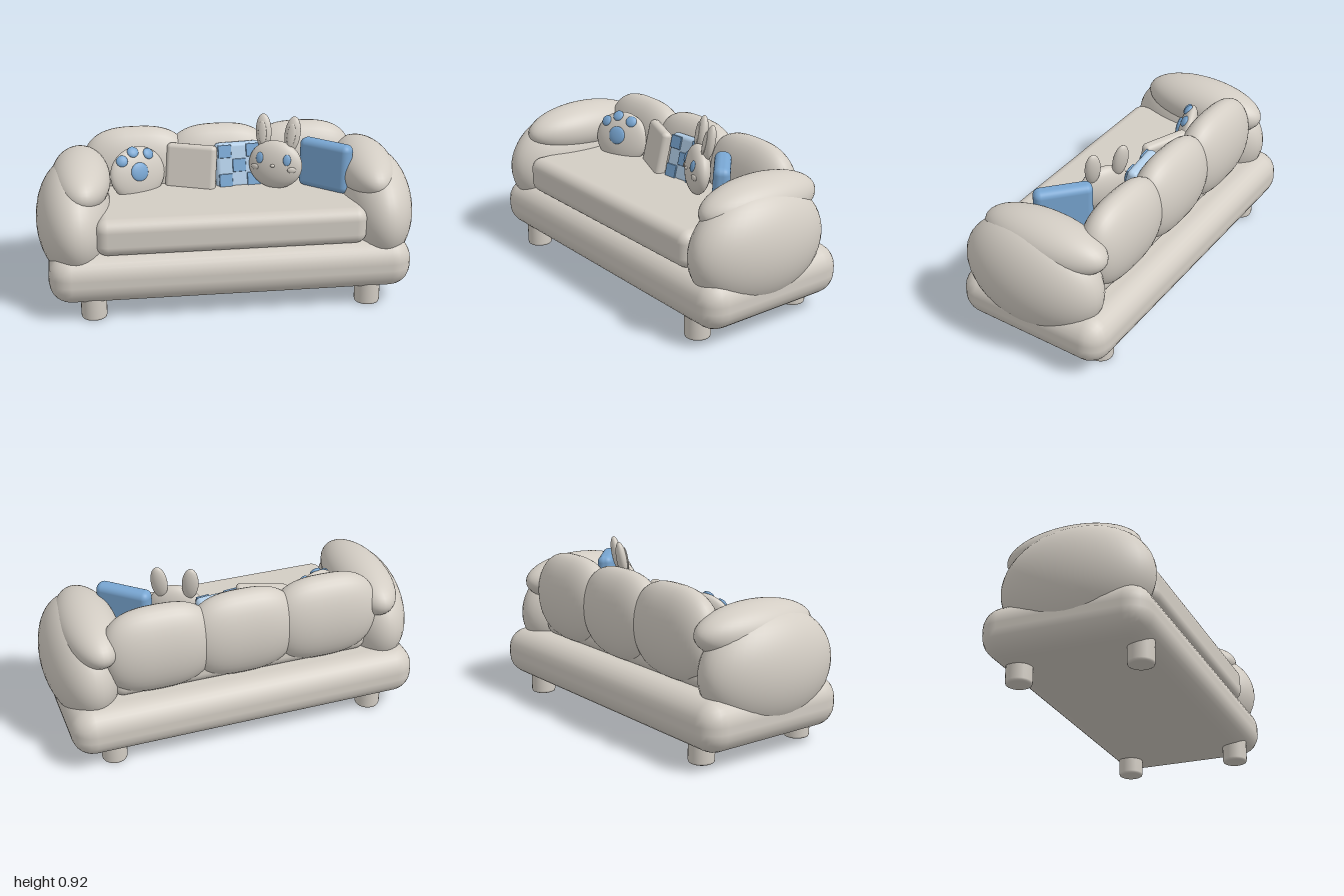
import * as THREE from 'three';
import { RoundedBoxGeometry } from 'three/addons/geometries/RoundedBoxGeometry.js';

const makeMaterial = (name, color) => {
  const m = new THREE.MeshStandardMaterial({ color });
  m.name = name;
  return m;
};

export function createModel() {
  const cream = makeMaterial('cream fabric', 0xd3cdc4);
  const blue = makeMaterial('blue fabric', 0x78a6d2);
  const lightBlue = makeMaterial('light blue fabric', 0xb4d0ea);

  const sofa = new THREE.Group();
  sofa.name = 'sofa';

  const add = (parent, name, geometry, material, x, y, z) => {
    const mesh = new THREE.Mesh(geometry, material);
    mesh.name = name;
    mesh.position.set(x, y, z);
    parent.add(mesh);
    return mesh;
  };
  const ellipsoid = (rx, ry, rz, w = 32, h = 24) =>
    new THREE.SphereGeometry(1, w, h).scale(rx, ry, rz);
  const box = (w, h, d, r, segments = 4) => new RoundedBoxGeometry(w, h, d, segments, r);

  // A loose pillow turned about y and leaning backwards
  const pillow = (name, x, y, z, turn, lean) => {
    const g = new THREE.Group();
    g.name = name;
    g.position.set(x, y, z);
    g.rotation.set(-lean, turn, 0, 'YXZ');
    sofa.add(g);
    return g;
  };

  // A detail lying on the front of an ellipsoid of radii r
  const onFront = (parent, name, r, x, y, w, h, d, material) => {
    const z = r[2] * Math.sqrt(Math.max(0, 1 - (x / r[0]) ** 2 - (y / r[1]) ** 2));
    const mesh = add(parent, name, ellipsoid(w, h, d, 20, 12), material, x, y, z);
    const normal = new THREE.Vector3(x / r[0] ** 2, y / r[1] ** 2, z / r[2] ** 2).normalize();
    mesh.quaternion.setFromUnitVectors(new THREE.Vector3(0, 0, 1), normal);
    return mesh;
  };

  // Base and seat
  add(sofa, 'base', box(1.89, 0.265, 0.87, 0.115, 3), cream, 0, 0.2225, 0);
  add(sofa, 'seatCushion', box(1.4, 0.195, 0.7, 0.06), cream, 0, 0.4425, 0.05);

  // Legs with softened lower rims
  const legProfile = [[0, 0], [0.056, 0], [0.064, 0.004], [0.067, 0.014], [0.067, 0.14]]
    .map(([r, y]) => new THREE.Vector2(r, y));
  for (const x of [-0.72, 0.72])
    for (const z of [0.33, -0.3])
      add(sofa, 'leg', new THREE.LatheGeometry(legProfile, 24), cream, x, 0, z);

  // Armrests: a big outer bolster and an inner roll
  for (const side of [-1, 1]) {
    add(sofa, 'armOuter', ellipsoid(0.2, 0.3, 0.4, 40, 28), cream, side * 0.8, 0.44, 0.035);
    add(sofa, 'armRoll', ellipsoid(0.155, 0.138, 0.355, 40, 28), cream, side * 0.757, 0.637, -0.01);
  }

  // Back cushions: blunt ended puffs turned about the x axis
  const puffProfile = [];
  for (let i = 0; i <= 28; i++) {
    const a = -Math.PI / 2 + (Math.PI * i) / 28;
    const c = Math.max(0, Math.cos(a)), s = Math.sin(a), e = 2 / 2.7;
    puffProfile.push(new THREE.Vector2(c < 1e-6 ? 0 : c ** e, Math.sign(s) * Math.abs(s) ** e));
  }
  for (const x of [-0.45, 0, 0.45]) {
    const puff = new THREE.LatheGeometry(puffProfile, 36).rotateZ(Math.PI / 2).scale(0.292, 0.243, 0.124);
    add(sofa, 'backCushion', puff, cream, x, 0.59, -0.247);
  }

  // Round pillow with a paw print
  const pawR = [0.16, 0.145, 0.05];
  const paw = pillow('pawPillow', -0.455, 0.625, -0.075, 0.43, 0.22);
  add(paw, 'pawBody', ellipsoid(...pawR), cream, 0, 0, 0);
  onFront(paw, 'pawPalm', pawR, -0.01, 0.015, 0.05, 0.05, 0.014, blue);
  for (const [x, y] of [[-0.095, 0.085], [-0.025, 0.122], [0.062, 0.1]])
    onFront(paw, 'pawToe', pawR, x, y, 0.031, 0.031, 0.014, blue);

  // Plain square pillow
  const plain = pillow('plainPillow', -0.165, 0.638, -0.1, -0.38, 0.2);
  add(plain, 'plainBody', box(0.275, 0.25, 0.06, 0.025), cream, 0, 0, 0);

  // Checked pillow
  const check = pillow('checkedPillow', 0.09, 0.638, -0.11, 0.1, 0.25);
  add(check, 'checkedBody', box(0.25, 0.25, 0.06, 0.025), lightBlue, 0, 0, 0);
  for (let i = -1; i <= 1; i++)
    for (let j = -1; j <= 1; j++)
      if ((i + j) % 2 === 0)
        add(check, 'checkPatch', box(0.073, 0.07, 0.012, 0.004, 2), blue, i * 0.077, j * 0.078, 0.032);

  // Blue square pillow
  const square = pillow('bluePillow', 0.54, 0.668, 0.04, -0.73, 0.04);
  add(square, 'blueBody', box(0.3, 0.265, 0.085, 0.035), blue, 0, 0, 0);

  // Rabbit head pillow
  const headR = [0.147, 0.13, 0.06];
  const rabbit = pillow('rabbitPillow', 0.28, 0.662, -0.02, -0.45, 0.1);
  add(rabbit, 'rabbitHead', ellipsoid(...headR), cream, 0, 0, 0);
  for (const side of [-1, 1]) {
    onFront(rabbit, 'rabbitEye', headR, side * 0.075, 0.04, 0.021, 0.03, 0.009, blue);
    onFront(rabbit, 'rabbitCheek', headR, side * 0.102, -0.012, 0.024, 0.016, 0.008, cream);
    const ear = new THREE.Group();
    ear.name = 'rabbitEar';
    ear.position.set(side * 0.08, 0.168, -0.025);
    ear.rotation.set(-0.08, 0, -side * 0.08);
    rabbit.add(ear);
    add(ear, 'earOuter', ellipsoid(0.043, 0.096, 0.028, 24, 18), cream, 0, 0, 0);
    add(ear, 'earInner', ellipsoid(0.023, 0.064, 0.009, 20, 14), cream, 0, -0.005, 0.026);
  }
  onFront(rabbit, 'rabbitNose', headR, 0, 0.005, 0.012, 0.009, 0.009, cream);

  return sofa;
}
